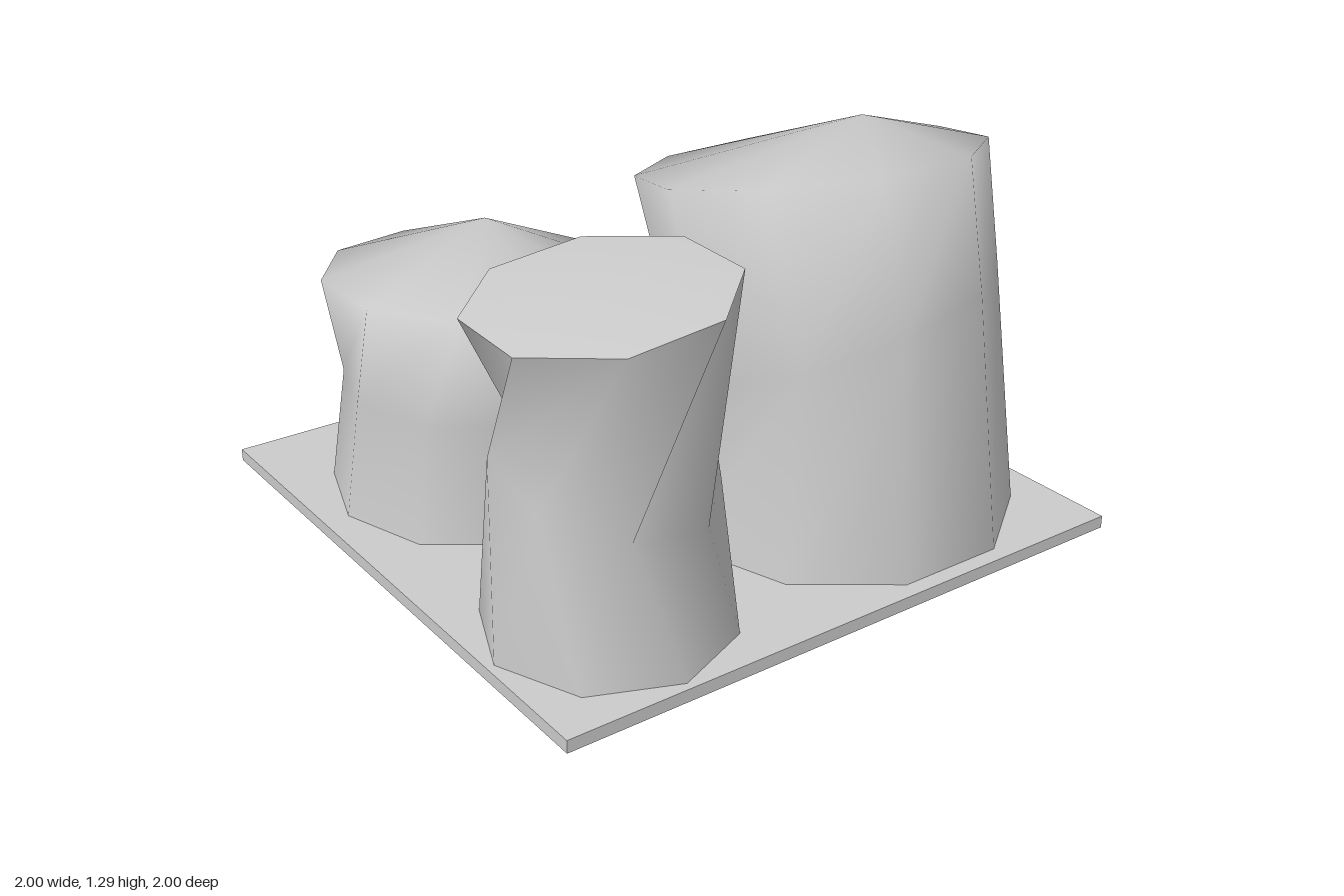
import * as THREE from 'three';
import { mergeVertices, toCreasedNormals } from 'three/addons/utils/BufferGeometryUtils.js';

const BASE = 0.04;
const material = new THREE.MeshStandardMaterial({ color: 0xcccccc });

// Tilted polygon ring: centre, radius, twist in degrees, height slopes along x and z.
function ring(sides, [cx, cy, cz], radius, twist = 0, slopeX = 0, slopeZ = 0) {
  return Array.from({ length: sides }, (_, i) => {
    const a = (i / sides) * Math.PI * 2 + THREE.MathUtils.degToRad(twist);
    const dx = radius * Math.cos(a), dz = -radius * Math.sin(a);
    return [cx + dx, cy + slopeX * dx + slopeZ * dz, cz + dz];
  });
}

// Surface finishes: hard rim only, smooth over the rim, or hard at every sharp edge.
const shaded = (geometry) => {
  geometry.computeVertexNormals();
  return geometry;
};
const smooth = (geometry) => shaded(mergeVertices(geometry));
const creased = (geometry) => toCreasedNormals(geometry, 0.87);

// Skin a stack of rings; close the top with a fan to the apex or with strips.
function loft(name, finish, rings, apex) {
  const n = rings[0].length;
  const index = [];
  for (let r = 0; r < rings.length - 1; r++) {
    for (let i = 0; i < n; i++) {
      const j = (i + 1) % n;
      const b = r * n + i, c = r * n + j;
      index.push(b, c, c + n, b, c + n, b + n);
    }
  }
  // The cap has its own copy of the last ring
  const top = rings.length * n;
  const points = [...rings.flat(), ...rings.at(-1)];
  if (apex) {
    points.push(apex);
    for (let i = 0; i < n; i++) index.push(top + i, top + ((i + 1) % n), top + n);
  } else {
    for (let i = 0; i < n / 2 - 1; i++) {
      const a = top + i, d = top + n - 1 - i;
      index.push(a, a + 1, d - 1, a, d - 1, d);
    }
  }
  const geometry = new THREE.BufferGeometry();
  geometry.setAttribute('position', new THREE.Float32BufferAttribute(points.flat(), 3));
  geometry.setIndex(index);
  const mesh = new THREE.Mesh(finish(geometry), material);
  mesh.name = name;
  return mesh;
}

export function createModel() {
  const group = new THREE.Group();
  group.name = 'rockPillars';

  // Square ground slab
  const slab = new THREE.Mesh(new THREE.BoxGeometry(2, BASE, 2), material);
  slab.position.y = BASE / 2;
  slab.name = 'groundSlab';
  group.add(slab);

  // Large leaning pillar, smooth over its sloping domed top
  group.add(loft('largePillar', smooth, [
    ring(10, [0.4, BASE, 0.4], 0.575),
    ring(10, [0.4, 0.66, 0.4], 0.475, 0, 0.23, 0.33),
    ring(10, [0.33, 1.17, 0.325], 0.525, 0, 0, 0.2),
  ], [0.46, 1.295, 0.4]));

  // Low twisted pillar, smooth over its domed top
  group.add(loft('lowPillar', smooth, [
    ring(10, [-0.43, BASE, -0.38], 0.487),
    ring(10, [-0.42, 0.41, -0.38], 0.44),
    ring(10, [-0.42, 0.75, -0.375], 0.487, 18, -0.07, 0.02),
  ], [-0.35, 0.895, -0.44]));

  // Slim pillar twisted one way, then back, with a nearly flat tilted top
  group.add(loft('slimPillar', shaded, [
    ring(8, [-0.6, BASE, 0.6], 0.375),
    ring(8, [-0.6, 0.53, 0.6], 0.325, -22.5, -0.12, -0.25),
    ring(8, [-0.605, 1.043, 0.6], 0.382, 20, 0.12),
  ], [-0.6, 1.075, 0.6]));

  // Rough block: each ring runs along the front, then back again
  group.add(loft('roughBlock', creased, [
    [[0.18, BASE, -0.42], [0.34, BASE, -0.36], [0.72, BASE, -0.36], [0.86, BASE, -0.44],
      [0.86, BASE, -0.79], [0.7, BASE, -0.78], [0.34, BASE, -0.78], [0.17, BASE, -0.79]],
    [[0.145, 0.26, -0.39], [0.34, 0.26, -0.38], [0.71, 0.26, -0.38], [0.905, 0.26, -0.39],
      [0.82, 0.24, -0.79], [0.7, 0.24, -0.81], [0.34, 0.24, -0.83], [0.2, 0.24, -0.78]],
    [[0.18, 0.44, -0.39], [0.34, 0.46, -0.4], [0.71, 0.4, -0.43], [0.86, 0.44, -0.39],
      [0.86, 0.44, -0.79], [0.71, 0.41, -0.8], [0.34, 0.47, -0.74], [0.17, 0.44, -0.79]],
  ]));

  return group;
}
